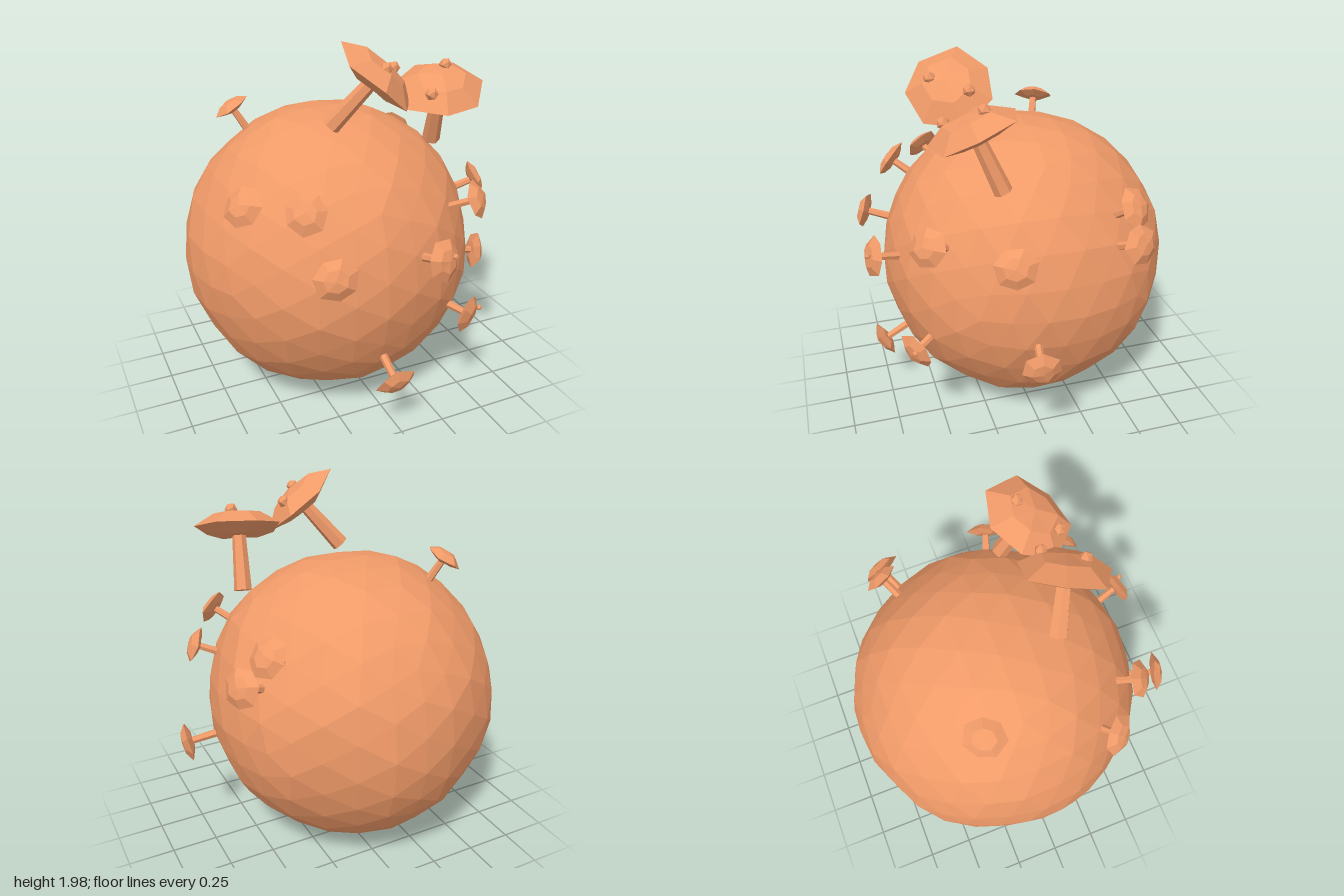
import * as THREE from 'three';

const material = new THREE.MeshStandardMaterial({ color: 0xf09a68, flatShading: true });
const CENTER = new THREE.Vector3(-0.08, 0.8, -0.07);
const UP = new THREE.Vector3(0, 1, 0);

function addMesh(parent, geometry, name) {
  const mesh = new THREE.Mesh(geometry, material);
  mesh.name = name;
  parent.add(mesh);
  return mesh;
}

// Faceted ball with gentle lumps
function planetGeometry() {
  const geo = new THREE.IcosahedronGeometry(1, 4);
  const pos = geo.attributes.position;
  const v = new THREE.Vector3();
  for (let i = 0; i < pos.count; i++) {
    v.fromBufferAttribute(pos, i).normalize();
    const broad = Math.sin(v.x * 5 + 1) * Math.sin(v.y * 4 + 2) * Math.sin(v.z * 5 + 0.5);
    const fine = Math.sin(v.x * 17 + v.y * 11) * Math.cos(v.z * 15 - v.y * 9);
    v.multiplyScalar(0.798 + 0.012 * broad + 0.008 * fine);
    pos.setXYZ(i, v.x, v.y, v.z);
  }
  geo.computeVertexNormals();
  return geo;
}

// Flat seven-sided cap with a slightly uneven rim, centred on its rim plane
function capGeometry(radius, seed) {
  const profile = [[0, -0.2], [0.5, -0.19], [1, 0], [0.55, 0.29], [0, 0.37]]
    .map(([r, y]) => new THREE.Vector2(r * radius, y * radius));
  const geo = new THREE.LatheGeometry(profile, 7);
  const pos = geo.attributes.position;
  for (let i = 0; i < pos.count; i++) {
    const x = pos.getX(i), z = pos.getZ(i);
    const r = Math.hypot(x, z) / radius;
    if (r < 0.01) continue;
    const a = Math.atan2(z, x);
    const k = 1 + 0.06 * Math.sin(2 * a + seed);
    pos.setXYZ(i, x * k, pos.getY(i) + 0.06 * radius * r * Math.sin(3 * a + seed * 2), z * k);
  }
  geo.computeVertexNormals();
  return geo;
}

// Mushroom running from a base point to the centre of its cap
function mushroom(name, base, capCenter, capRadius, stemTop, stemBottom, seed) {
  const group = new THREE.Group();
  group.name = name;
  const axis = capCenter.clone().sub(base);
  const length = axis.length();
  group.position.copy(base);
  group.quaternion.setFromUnitVectors(UP, axis.normalize());
  const stem = addMesh(group, new THREE.CylinderGeometry(stemTop, stemBottom, length, 6), 'stem');
  stem.position.y = length / 2;
  const cap = addMesh(group, capGeometry(capRadius, seed), 'cap');
  cap.position.y = length;
  cap.rotation.y = seed * 1.3;
  return group;
}

export function createModel() {
  const model = new THREE.Group();
  model.name = 'mushroomPlanet';
  addMesh(model, planetGeometry(), 'planet').position.copy(CENTER);

  const addSpot = (p, r) => {
    const spot = addMesh(model, new THREE.IcosahedronGeometry(r, 0), 'capSpot');
    spot.position.set(...p);
  };

  // Small mushrooms growing straight out of the surface, by cap centre
  [
    [-0.53, 1.58, -0.28], [-0.69, 1.28, 0.38], [-0.46, 1.29, 0.60], [-0.39, 1.02, 0.78],
    [0.17, 1.01, 0.80], [-0.05, 0.35, 0.76], [0.43, 0.57, 0.65], [0.49, 1.19, 0.57],
    [0.83, 0.62, 0.10], [0.72, 1.14, 0.20], [0.57, 1.30, -0.46], [0.70, 1.16, -0.44],
  ].forEach((p, i) => {
    const cap = new THREE.Vector3(...p);
    const base = cap.clone().sub(CENTER).setLength(0.76).add(CENTER);
    model.add(mushroom('smallMushroom', base, cap, 0.107, 0.019, 0.023, i + 1));
  });
  addSpot([0.21, 1.04, 0.835], 0.016);
  addSpot([0.495, 0.60, 0.665], 0.016);

  // Two large leaning mushrooms on top
  [
    [[-0.18, 1.57, 0.24], [0.02, 1.82, 0.34]],
    [[0.44, 1.41, 0.18], [0.40, 1.72, 0.31]],
  ].forEach(([base, cap], i) => {
    model.add(mushroom('largeMushroom', new THREE.Vector3(...base),
      new THREE.Vector3(...cap), 0.235, 0.035, 0.048, i * 2 + 0.5));
  });
  [[0.02, 1.88, 0.44], [0.15, 1.84, 0.27], [0.28, 1.73, 0.43], [0.45, 1.83, 0.27]]
    .forEach((p) => addSpot(p, 0.034));

  return model;
}
